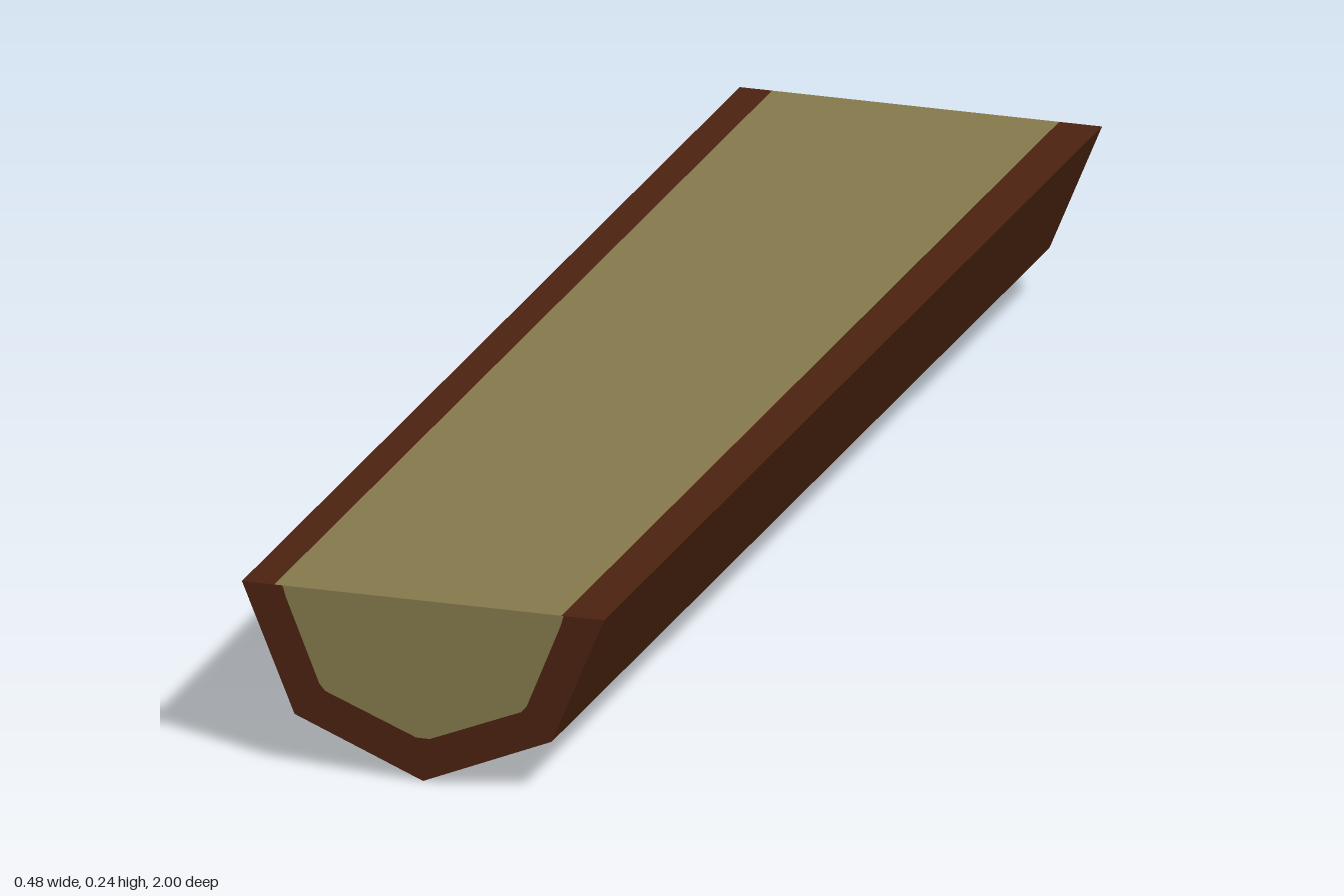
import * as THREE from 'three';

// Flat-sided skin swept along z through a cross-section; points run counterclockwise seen from +z
function sweep(points, halfLength = 1) {
  const v = [];
  for (let i = 0; i + 1 < points.length; i++) {
    const [ax, ay] = points[i], [bx, by] = points[i + 1], h = halfLength;
    v.push(ax, ay, h, ax, ay, -h, bx, by, -h, ax, ay, h, bx, by, -h, bx, by, h);
  }
  const g = new THREE.BufferGeometry();
  g.setAttribute('position', new THREE.Float32BufferAttribute(v, 3));
  g.computeVertexNormals();
  return g;
}

const mirrored = (half) => [...half, ...half.map(([x, y]) => [-x, y]).reverse()];
const flat = (points) => new THREE.ShapeGeometry(new THREE.Shape(points.map(([x, y]) => new THREE.Vector2(x, y))));

export function createModel() {
  const group = new THREE.Group();
  group.name = 'halfLog';

  const bark = new THREE.MeshStandardMaterial({ color: 0x4c2210 });
  bark.name = 'dark bark';
  const wood = new THREE.MeshStandardMaterial({ color: 0x867a4c });
  wood.name = 'pale wood';

  const add = (name, geometry, material) => {
    const mesh = new THREE.Mesh(geometry, material);
    mesh.name = name;
    group.add(mesh);
    return mesh;
  };

  const top = 0.241;
  const outer = [[-0.241, top], [-0.171, 0.071], [0, 0], [0.171, 0.071], [0.241, top]];
  const inner = mirrored([[-0.187, top], [-0.183, 0.227], [-0.138, 0.115], [-0.13, 0.106], [-0.009, 0.057]]);

  // Bark underside, the cut face and its two bark rims
  add('barkSides', sweep(outer), bark);
  add('leftBarkRim', sweep([[0.241, top], [0.184, top]]), bark);
  add('cutFace', sweep([[0.184, top], [-0.198, top]]), wood);
  add('rightBarkRim', sweep([[-0.198, top], [-0.241, top]]), bark);

  // Ends: a bark ring open at the top around the wood
  for (const [name, z, turn] of [['front', 1, 0], ['back', -1, Math.PI]]) {
    const ring = add(name + 'BarkRing', flat([...outer, ...[...inner].reverse()]), bark);
    const core = add(name + 'WoodEnd', flat(inner), wood);
    for (const mesh of [ring, core]) {
      mesh.position.z = z;
      mesh.rotation.y = turn;
    }
  }
  return group;
}
